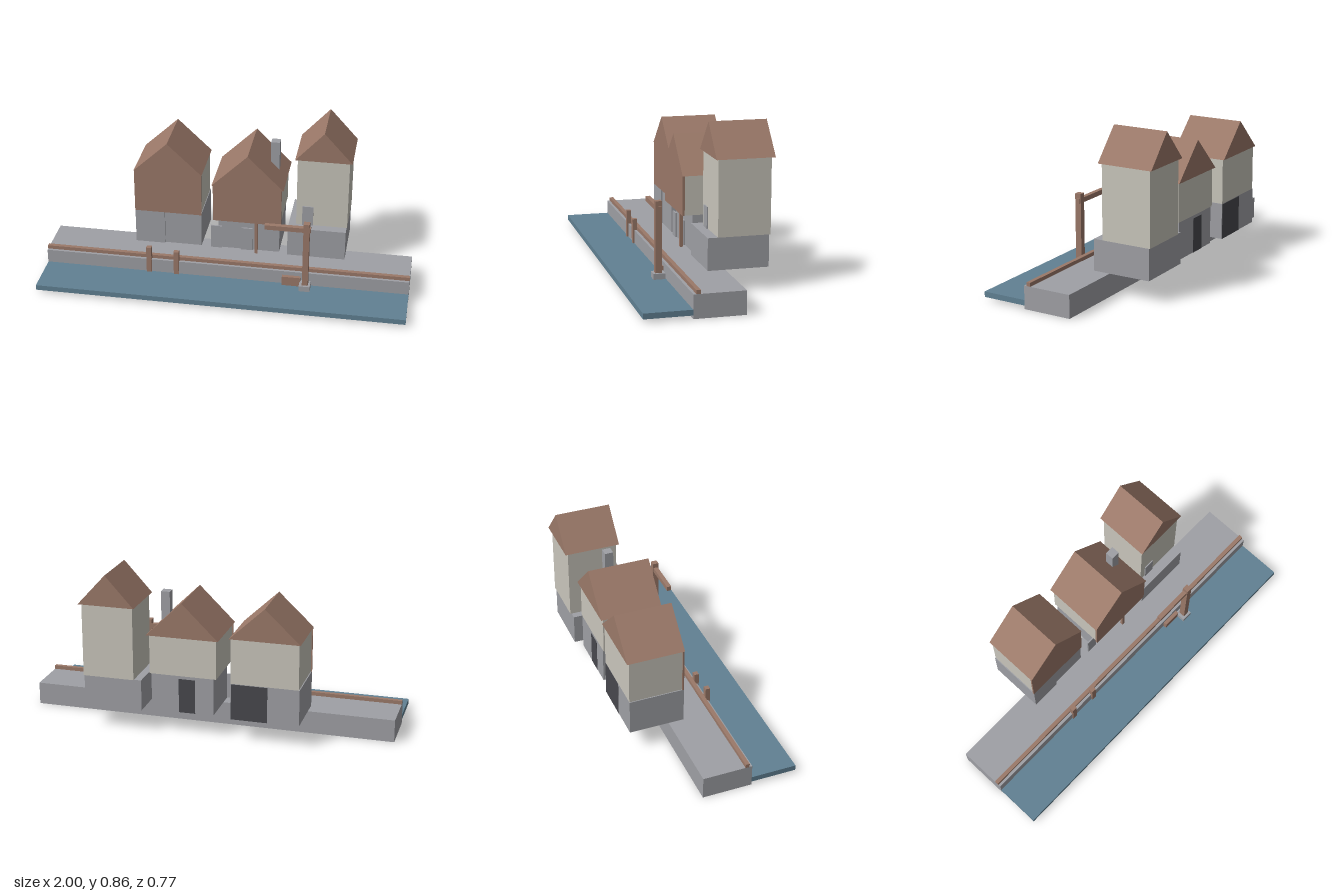
import * as THREE from 'three';

export function createModel() {
  const model = new THREE.Group();
  model.name = 'harbourQuay';

  const mat = (name, color) => {
    const m = new THREE.MeshStandardMaterial({ color });
    m.name = name;
    return m;
  };
  const stone = mat('stone grey', 0x9fa0a5);
  const timber = mat('timber brown', 0x9b7969);
  const plaster = mat('pale plaster', 0xc9c6bc);
  const sea = mat('sea blue', 0x618193);
  const dark = mat('dark opening', 0x48484d);

  // Box given by its limits on each axis
  const box = (parent, name, m, [x0, x1], [y0, y1], [z0, z1]) => {
    const mesh = new THREE.Mesh(new THREE.BoxGeometry(x1 - x0, y1 - y0, z1 - z0), m);
    mesh.position.set((x0 + x1) / 2, (y0 + y1) / 2, (z0 + z1) / 2);
    mesh.name = name;
    parent.add(mesh);
  };

  // Gable roof: triangle extruded along z
  const roof = (parent, [x0, x1], [y0, y1], [z0, z1]) => {
    const s = new THREE.Shape();
    s.moveTo(x0, y0);
    s.lineTo(x1, y0);
    s.lineTo((x0 + x1) / 2, y1);
    s.closePath();
    const g = new THREE.ExtrudeGeometry(s, { depth: z1 - z0, bevelEnabled: false });
    const mesh = new THREE.Mesh(g, timber);
    mesh.position.z = z0;
    mesh.name = 'gableRoof';
    parent.add(mesh);
  };

  const house = (name) => {
    const g = new THREE.Group();
    g.name = name;
    model.add(g);
    return g;
  };

  // Quay, water and edge rail
  box(model, 'quay', stone, [-1, 1], [0, 0.123], [-0.13, 0.137]);
  box(model, 'water', sea, [-0.999, 0.999], [0.018, 0.047], [0.037, 0.383]);
  box(model, 'edgeRail', timber, [-1, 1], [0.122, 0.143], [0.1, 0.122]);

  // Mooring posts
  for (const [x, top] of [[-0.422, 0.2], [-0.27, 0.186]]) {
    box(model, 'mooringPost', timber, [x - 0.014, x + 0.014], [0.04, top], [0.121, 0.146]);
  }

  // Crane
  const crane = house('crane');
  box(crane, 'craneFoot', stone, [0.412, 0.472], [0.047, 0.078], [0.14, 0.203]);
  box(crane, 'craneMast', timber, [0.428, 0.46], [0.078, 0.456], [0.156, 0.19]);
  box(crane, 'craneArm', timber, [0.22, 0.466], [0.404, 0.43], [0.16, 0.185]);
  box(crane, 'crate', timber, [0.315, 0.415], [0.047, 0.1], [0.125, 0.157]);

  // Left house
  const left = house('leftHouse');
  box(left, 'groundFloor', stone, [-0.535, -0.165], [0.123, 0.321], [-0.345, -0.056]);
  box(left, 'frontPier', stone, [-0.535, -0.37], [0.123, 0.32], [-0.06, -0.046]);
  box(left, 'passage', dark, [-0.365, -0.17], [0.122, 0.318], [-0.346, -0.08]);
  box(left, 'upperFloor', plaster, [-0.53, -0.168], [0.321, 0.57], [-0.345, -0.055]);
  box(left, 'frontBoarding', timber, [-0.536, -0.163], [0.32, 0.57], [-0.055, -0.046]);
  roof(left, [-0.538, -0.16], [0.568, 0.746], [-0.356, -0.044]);

  // Middle house with jettied front
  const middle = house('middleHouse');
  box(middle, 'groundFloor', stone, [-0.07, 0.27], [0.123, 0.326], [-0.325, -0.057]);
  box(middle, 'passage', dark, [0.03, 0.12], [0.122, 0.31], [-0.326, -0.1]);
  box(middle, 'upperFloor', plaster, [-0.085, 0.28], [0.326, 0.542], [-0.325, -0.011]);
  box(middle, 'frontBoarding', timber, [-0.09, 0.285], [0.325, 0.542], [-0.011, 0.001]);
  box(middle, 'jettyBeam', timber, [-0.03, 0.155], [0.312, 0.326], [-0.057, -0.042]);
  box(middle, 'jettyPost', timber, [0.138, 0.154], [0.123, 0.326], [-0.037, -0.02]);
  for (const x of [-0.08, 0.09]) {
    box(middle, 'door', stone, [x - 0.031, x + 0.031], [0.123, 0.26], [-0.057, -0.048]);
  }
  roof(middle, [-0.097, 0.295], [0.54, 0.732], [-0.338, 0.003]);
  box(middle, 'chimney', stone, [0.202, 0.25], [0.55, 0.746], [-0.207, -0.16]);

  // Right house: tower on a stone base
  const right = house('rightHouse');
  box(right, 'stoneBase', stone, [0.317, 0.635], [0.123, 0.293], [-0.36, -0.037]);
  box(right, 'tower', plaster, [0.357, 0.637], [0.293, 0.694], [-0.367, -0.09]);
  box(right, 'towerDoor', stone, [0.39, 0.45], [0.293, 0.408], [-0.09, -0.084]);
  roof(right, [0.344, 0.652], [0.693, 0.862], [-0.383, -0.076]);

  return model;
}
